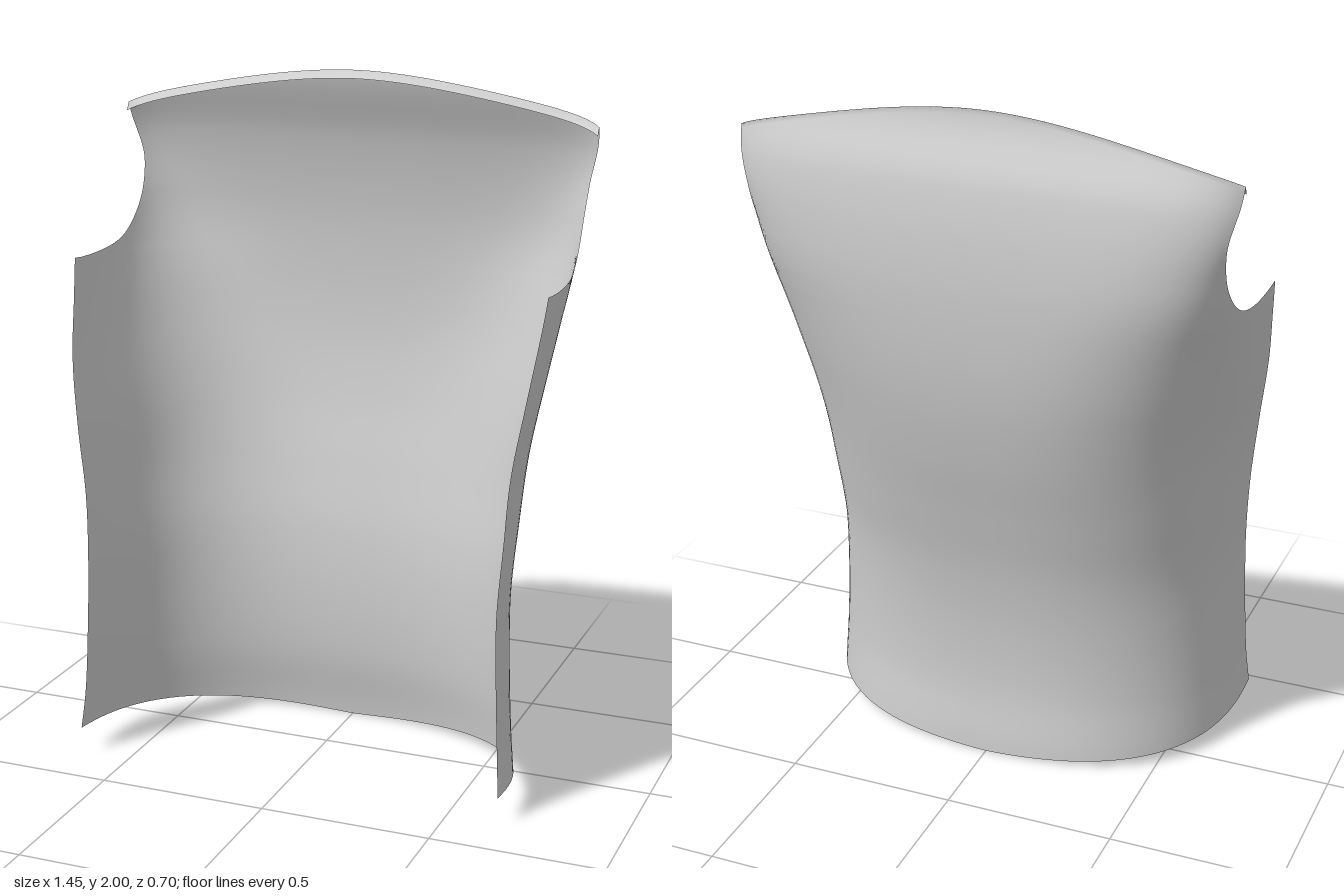
import * as THREE from 'three';

// Body cross-sections at even heights from y = 0 to 2:
// squareness, half width, z of the back centre, z of the front edge
const SECTIONS = [
  [2.6, 0.655, -0.220, 0.360],
  [2.6, 0.640, -0.190, 0.335],
  [2.6, 0.630, -0.188, 0.328],
  [2.6, 0.625, -0.210, 0.322],
  [2.65, 0.635, -0.253, 0.305],
  [2.75, 0.652, -0.300, 0.308],
  [3.0, 0.680, -0.334, 0.275],
  [3.7, 0.702, -0.346, 0.210],
  [5.4, 0.722, -0.337, 0.160],
  [7.0, 0.766, -0.300, 0.150],
  [7.0, 0.775, -0.230, 0.150],
];
// Armhole edge from armpit to shoulder tip: z, y
const ARMHOLE = [
  [0.20, 1.475], [0.09, 1.465], [0.00, 1.465], [-0.10, 1.49], [-0.17, 1.54],
  [-0.22, 1.61], [-0.25, 1.70], [-0.245, 1.78], [-0.215, 1.875],
];
const SIDE = 32;         // segments from back centre to side edge
const LOWER = 50;        // rows from hem to armpit
const UPPER = 40;        // rows from armpit to shoulder
const ARMPIT_BACK = 1.42; // back-centre height of the armpit row

const spline = (points) => new THREE.SplineCurve(points.map((p) => new THREE.Vector2(...p)));
const shapeCurve = spline(SECTIONS.map((s) => [s[0], s[1]]));
const depthCurve = spline(SECTIONS.map((s) => [s[2], s[3]]));
const armhole = spline(ARMHOLE);

function sectionAt(y) {
  const shape = shapeCurve.getPoint(y / 2);
  const depth = depthCurve.getPoint(y / 2);
  return { n: shape.x, width: shape.y, front: depth.y, depth: depth.y - depth.x };
}

// Back-centre height, side height and angle round the body at which row j ends
function rowAt(j) {
  if (j <= LOWER) {
    const v = j / LOWER;
    return { back: ARMPIT_BACK * v, side: THREE.MathUtils.lerp(0.08, 1.475, v), end: Math.PI / 2 };
  }
  const v = (j - LOWER) / UPPER;
  const edge = armhole.getPoint(v);
  const { n, front, depth } = sectionAt(edge.y);
  const q = Math.max(0, (front - edge.x) / depth);
  return {
    back: THREE.MathUtils.lerp(ARMPIT_BACK, 2, v),
    side: edge.y,
    end: Math.atan2((1 - q ** n) ** (1 / n), q),
  };
}

function backPanelGeometry() {
  const columns = 2 * SIDE + 1;
  const rows = LOWER + UPPER + 2;
  const positions = [];
  const indices = [];

  for (let j = 0; j < rows; j++) {
    const lip = j > LOWER + UPPER; // last row folds the shoulder edge forward
    const row = rowAt(Math.min(j, LOWER + UPPER));
    const bow = THREE.MathUtils.lerp(1.25, 1.9, j / rows);
    for (let i = 0; i < columns; i++) {
      const u = i / SIDE - 1;
      const t = Math.abs(u);
      const y = THREE.MathUtils.lerp(row.back, row.side, t ** bow);
      const { n, width, front, depth } = sectionAt(y);
      const s = Math.sin(t * row.end);
      const c = Math.max(0, Math.cos(t * row.end));
      const r = (s ** n + c ** n) ** (-1 / n);
      positions.push(
        Math.sign(u) * width * s * r,
        y - (lip ? 0.024 : 0),
        front - depth * c * r + (lip ? 0.012 : 0),
      );
      if (j < rows - 1 && i < columns - 1) {
        const a = j * columns + i;
        const b = a + columns;
        indices.push(a, b, a + 1, a + 1, b, b + 1);
      }
    }
  }

  const geometry = new THREE.BufferGeometry();
  geometry.setAttribute('position', new THREE.Float32BufferAttribute(positions, 3));
  geometry.setIndex(indices);
  geometry.computeVertexNormals();
  return geometry;
}

export function createModel() {
  const group = new THREE.Group();
  group.name = 'garmentBack';
  const cloth = new THREE.MeshStandardMaterial({ color: 0xcccccc, side: THREE.DoubleSide });
  const panel = new THREE.Mesh(backPanelGeometry(), cloth);
  panel.name = 'backPanel';
  group.add(panel);
  return group;
}
